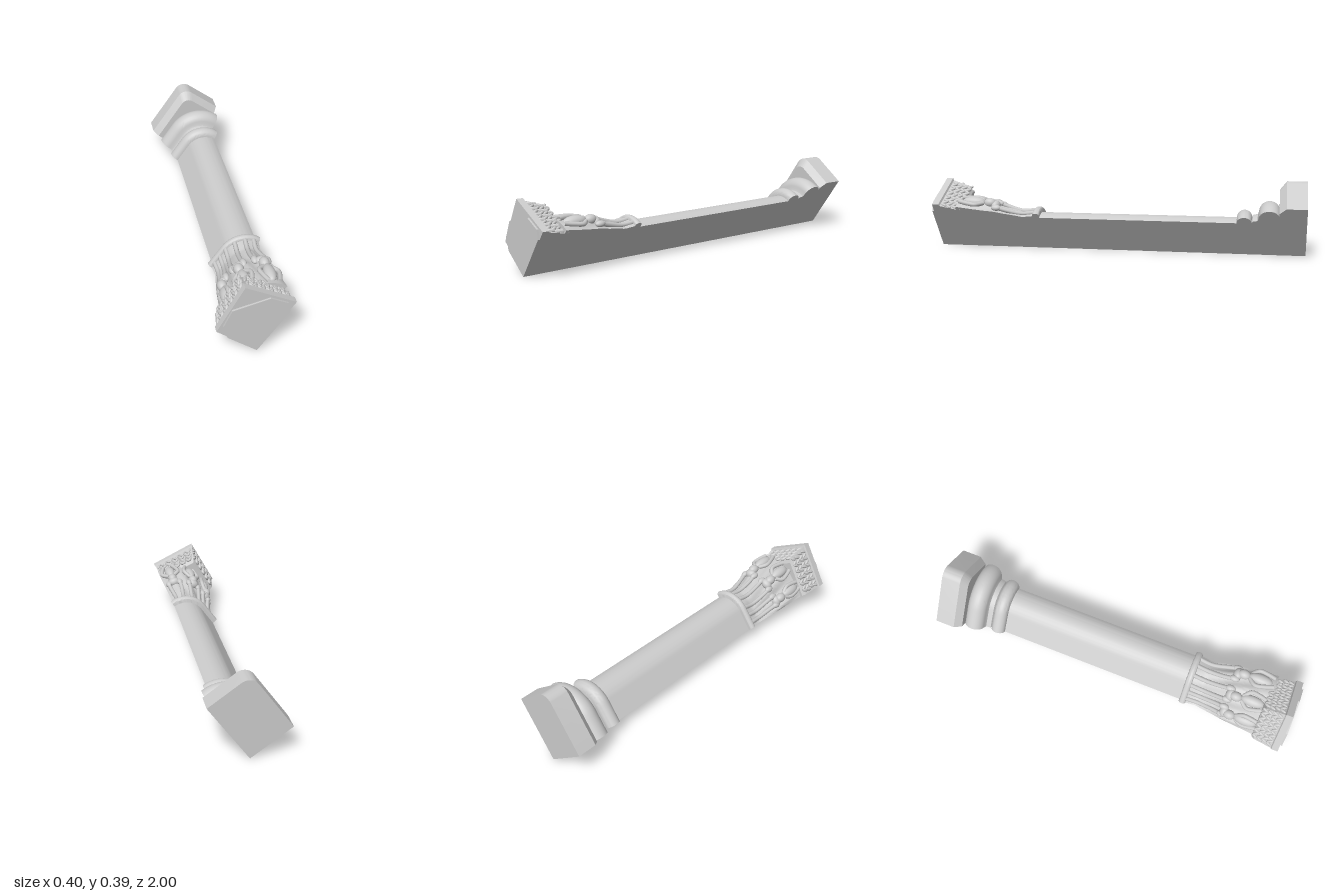
import * as THREE from 'three';
import { toCreasedNormals } from 'three/addons/utils/BufferGeometryUtils.js';

// A quarter of an oblong cloister pillar lying along z. Sections are drawn in
// (a, b): the two cut faces lie on a = 0 and b = 0, meeting at the origin.
const C = 0.118;                       // centre of the rounded end on the a axis
const N = 48;
const CORNER = [0.265, 0.265], EDGE_A = 0.31, EDGE_B = 0.234;

const material = new THREE.MeshStandardMaterial({ color: 0xcccccc });

// Distance from the origin to the oblong outline of radius R
function oblong(t, R) {
  const s = Math.sin(t), c = Math.cos(t);
  if (R * c <= C * s) return R / s;
  return C * c + Math.sqrt(R * R - C * C * s * s);
}

// Distance from the origin to the square-cornered abacus outline
function square(t) {
  const [p, q] = t <= Math.PI / 4 ? [[EDGE_A, 0], CORNER] : [CORNER, [0, EDGE_B]];
  const d = [q[0] - p[0], q[1] - p[1]];
  return (p[0] * d[1] - p[1] * d[0]) / (Math.cos(t) * d[1] - Math.sin(t) * d[0]);
}

// Closed section: origin, then the outline from the a axis round to the b axis
function radialSection(dist) {
  const pts = [[0, 0]];
  for (let i = 0; i <= N; i++) {
    const t = (i / N) * Math.PI / 2, r = dist(t);
    pts.push([r * Math.cos(t), r * Math.sin(t)]);
  }
  return pts;
}

// Joins sections [z, points] from back to front and caps both ends
function loft(sections, crease = 0.6) {
  const pos = [];
  const tri = (...v) => v.forEach(([p, z]) => pos.push(p[0], p[1], z));
  for (let s = 0; s + 1 < sections.length; s++) {
    const [z0, p] = sections[s], [z1, q] = sections[s + 1];
    for (let i = 0; i < p.length; i++) {
      const j = (i + 1) % p.length;
      tri([p[i], z0], [p[j], z0], [q[j], z1]);
      tri([p[i], z0], [q[j], z1], [q[i], z1]);
    }
  }
  const [zb, back] = sections[0], [zf, front] = sections[sections.length - 1];
  for (let i = 1; i + 1 < back.length; i++) {
    tri([back[0], zb], [back[i + 1], zb], [back[i], zb]);
    tri([front[0], zf], [front[i], zf], [front[i + 1], zf]);
  }
  const geo = new THREE.BufferGeometry();
  geo.setAttribute('position', new THREE.Float32BufferAttribute(pos, 3));
  return toCreasedNormals(geo, crease);
}

// Half-round moulding as [z, R] profile points
function roll(z0, z1, inner, outer) {
  return Array.from({ length: 15 }, (_, i) => {
    const k = (i / 14) * Math.PI;
    return [(z0 + z1) / 2 - Math.cos(k) * (z1 - z0) / 2, inner + Math.sin(k) * (outer - inner)];
  });
}

function lerpProfile(profile, z) {
  for (let i = 1; i < profile.length; i++) {
    const [z0, r0] = profile[i - 1], [z1, r1] = profile[i];
    if (z <= z1) return r0 + (r1 - r0) * (z - z0) / (z1 - z0);
  }
  return profile[profile.length - 1][1];
}

export function createModel() {
  const root = new THREE.Group();
  root.name = 'pillar';
  const body = new THREE.Group();
  body.name = 'pillarParts';
  body.rotation.z = THREE.MathUtils.degToRad(54);
  root.add(body);

  const add = (name, geo, parent = body) => {
    const m = new THREE.Mesh(geo, material);
    m.name = name;
    parent.add(m);
    return m;
  };

  // Plinth with a rounded outer corner and a chamfer toward the shaft
  const plinth = (inset) => {
    const A = 0.337 - inset, B = 0.246 - inset, r = 0.056 - inset * 0.3;
    const pts = [[0, 0], [A, 0]];
    for (let i = 0; i <= 12; i++) {
      const k = (i / 12) * Math.PI / 2;
      pts.push([A - r + r * Math.cos(k), B - r + r * Math.sin(k)]);
    }
    return [...pts, [0, B]];
  };
  add('plinth', loft([[-1, plinth(0)], [-0.895, plinth(0)], [-0.86, plinth(0.034)]], 0.4));

  // Base mouldings and shaft
  const oblongLoft = (profile) =>
    loft(profile.map(([z, R]) => [z, radialSection((t) => oblong(t, R))]));
  add('baseMouldings', oblongLoft([
    ...roll(-0.865, -0.755, 0.145, 0.2), [-0.75, 0.132], [-0.725, 0.126],
    ...roll(-0.72, -0.643, 0.115, 0.152)]));
  add('shaft', oblongLoft([[-0.65, 0.112], [0.42, 0.112]]));
  add('neckRing', oblongLoft(roll(0.405, 0.442, 0.128, 0.142)));

  // Capital core, lightly fluted, widening toward the abacus
  const bell = [[0.43, 0.125], [0.5, 0.112], [0.6, 0.132], [0.66, 0.15], [0.75, 0.165], [0.86, 0.178]];
  const core = [];
  for (let i = 0; i <= 40; i++) {
    const z = 0.43 + 0.43 * i / 40, R = lerpProfile(bell, z);
    const depth = 0.006 * Math.sin(Math.PI * i / 40);
    core.push([z, radialSection((t) => oblong(t, R) + depth * Math.cos(t * 20 + z * 12))]);
  }
  add('capitalCore', loft(core, 1));

  // Abacus: flared skirt, square block and the raised end face
  const skirt = [[0.835, 0.8], [0.85, 0.88], [0.9, 0.92], [0.95, 0.965], [0.955, 1], [0.99, 1]];
  add('abacus', loft(skirt.map(([z, k]) => [z, radialSection((t) => square(t) * k)]), 0.4));
  const face = [[0, 0], [0.26, 0], [0.292, 0.036], [0.276, 0.128], [0.136, 0.245], [0.043, 0.227], [0, 0.172]];
  add('endFace', loft([[0.98, face], [1, face]], 0.2));

  // Point on the capital bell, with the direction its surface faces
  const onBell = (deg, z, lift = 0) => {
    const t = THREE.MathUtils.degToRad(deg), r = oblong(t, lerpProfile(bell, z));
    const a = r * Math.cos(t), b = r * Math.sin(t);
    const n = a <= C ? Math.PI / 2 : Math.atan2(b, a - C);
    return { p: new THREE.Vector3(a + lift * Math.cos(n), b + lift * Math.sin(n), z), n };
  };
  const ball = new THREE.SphereGeometry(1, 16, 12);
  const blob = (name, parent, deg, z, lift, size) => {
    const { p, n } = onBell(deg, z, lift);
    const m = add(name, ball, parent);
    m.position.copy(p);
    m.rotation.z = n;
    m.scale.set(...size);
  };

  // Carved figures: head, hair, torso and two bent limbs each
  const figures = new THREE.Group();
  figures.name = 'carvedFigures';
  body.add(figures);
  for (const deg of [13, 39, 68]) {
    blob('head', figures, deg, 0.685, 0.012, [0.026, 0.026, 0.034]);
    blob('hair', figures, deg, 0.655, 0.004, [0.026, 0.034, 0.026]);
    blob('torso', figures, deg, 0.775, 0.004, [0.026, 0.03, 0.065]);
    for (const side of [-1, 1]) {
      const path = new THREE.CatmullRomCurve3([
        onBell(deg + side * 3, 0.72, 0.01).p, onBell(deg + side * 9, 0.755, 0.014).p,
        onBell(deg + side * 8, 0.8, 0.012).p, onBell(deg + side * 5, 0.85, 0.008).p]);
      add('limb', new THREE.TubeGeometry(path, 16, 0.012, 8), figures);
    }
  }

  // Leaf stalks rising from the neck ring, curling over at the heads
  const stalks = new THREE.Group();
  stalks.name = 'leafStalks';
  body.add(stalks);
  for (const [from, to] of [[7, 6], [18, 20], [31, 32], [45, 46], [59, 58], [77, 75]]) {
    const path = new THREE.CatmullRomCurve3([
      onBell(from, 0.435, 0).p, onBell(from, 0.51, 0.003).p,
      onBell(to, 0.6, 0.008).p, onBell(to, 0.65, 0.012).p]);
    add('stalk', new THREE.TubeGeometry(path, 20, 0.012, 8), stalks);
    blob('curl', stalks, to, 0.645, 0.008, [0.016, 0.018, 0.028]);
  }

  // Rows of small overlapping leaves on the abacus skirt
  const foliage = new THREE.Group();
  foliage.name = 'foliage';
  body.add(foliage);
  const A = new THREE.Vector2(EDGE_A, 0), K = new THREE.Vector2(...CORNER), B = new THREE.Vector2(0, EDGE_B);
  [[A, K], [K, B]].forEach(([p, q]) => {
    const n = Math.atan2(q.y - p.y, q.x - p.x) - Math.PI / 2;
    for (let row = 0; row < 4; row++) {
      const z = 0.853 + row * 0.027, k = lerpProfile(skirt, z);
      for (let i = 0; i < 11; i++) {
        const at = p.clone().lerp(q, (i + 0.55 + 0.3 * (row % 2)) / 11.8).multiplyScalar(k);
        const leaf = add('leaf', ball, foliage);
        leaf.position.set(at.x, at.y, z);
        leaf.rotation.set(0, 0, n);
        leaf.rotateX((i % 2 ? 1 : -1) * 0.5);
        leaf.scale.set(0.009, 0.008, 0.021);
      }
    }
  });
  return root;
}
